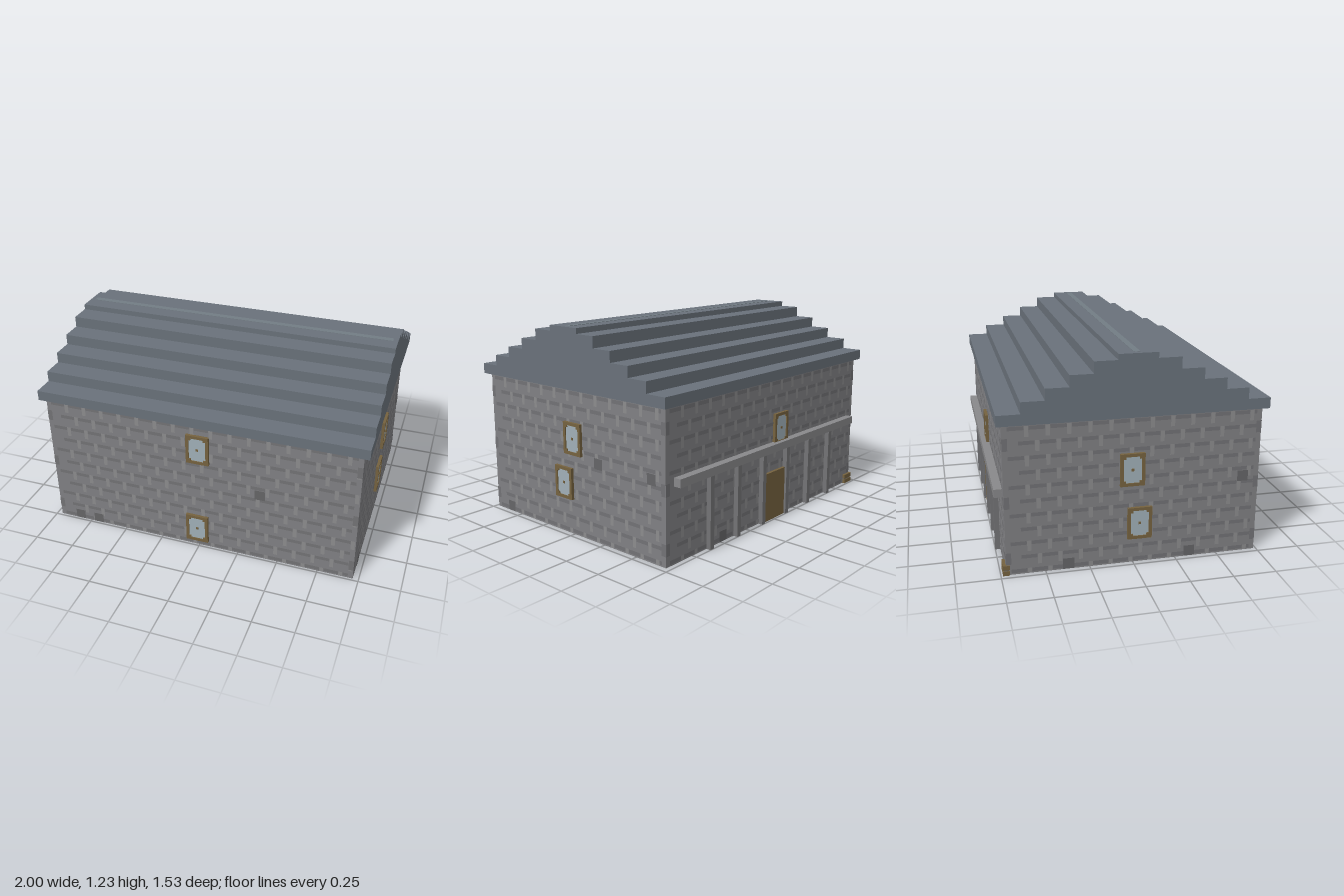
import * as THREE from 'three';
import { mergeGeometries } from 'three/addons/utils/BufferGeometryUtils.js';

const mat = (color) => new THREE.MeshStandardMaterial({ color });
const MAT = {
  wall: mat(0x808083), light: mat(0x8b8b8d), dark: mat(0x727275), patch: mat(0x656567),
  roof: mat(0x69717a), ridge: mat(0x727c84), wood: mat(0x75623f), glass: mat(0xa0afb7),
  post: mat(0x737375), beam: mat(0x88888a),
};

function add(parent, name, geometry, material) {
  const mesh = new THREE.Mesh(geometry, material);
  mesh.name = name;
  parent.add(mesh);
  return mesh;
}

// Box given by its minimum and maximum corners
function box(x0, x1, y0, y1, z0, z1) {
  return new THREE.BoxGeometry(x1 - x0, y1 - y0, z1 - z0)
    .translate((x0 + x1) / 2, (y0 + y1) / 2, (z0 + z1) / 2);
}

// Flat patch lying just in front of a wall
function quad(u0, u1, y0, y1, lift) {
  return new THREE.PlaneGeometry(u1 - u0, y1 - y0)
    .translate((u0 + u1) / 2, (y0 + y1) / 2, lift);
}

// Framed window with stepped inner corners and a central knob
function makeWindow(u, y) {
  const g = new THREE.Group();
  g.name = 'window';
  const W = 0.07, H = 0.095, w = 0.052, h = 0.077, s = 0.013;
  const frame = new THREE.Shape([[-W, -H], [W, -H], [W, H], [-W, H]].map((p) => new THREE.Vector2(...p)));
  const hole = [[-w, -h + s], [-w + s, -h + s], [-w + s, -h], [w - s, -h], [w - s, -h + s], [w, -h + s],
    [w, h - s], [w - s, h - s], [w - s, h], [-w + s, h], [-w + s, h - s], [-w, h - s]];
  frame.holes.push(new THREE.Path(hole.map((p) => new THREE.Vector2(...p))));
  add(g, 'windowFrame', new THREE.ExtrudeGeometry(frame, { depth: 0.018, bevelEnabled: false }), MAT.wood);
  add(g, 'windowPane', box(-w, w, -h, h, 0, 0.012), MAT.glass);
  add(g, 'windowKnob', box(-0.007, 0.007, -0.007, 0.007, 0.01, 0.016), MAT.wood);
  g.position.set(u, y, 0);
  return g;
}

// Stone pattern, dark stones and windows of one wall; u runs to the viewer's right
function makeWall(name, u0, u1, windows, patches) {
  const g = new THREE.Group();
  g.name = name;
  const light = [], dark = [], corner = [];
  const pitch = 0.115, rows = 11;
  for (let r = 0; r < rows; r++) {
    const y = 0.02 + r * 0.083;
    const shift = (r % 2) * pitch / 2;
    for (let u = u0 + 0.03 + shift; u < u1 - 0.04; u += pitch) {
      dark.push(quad(u, Math.min(u + 0.088, u1 - 0.03), y - 0.011, y + 0.011, 0.001));
      if (u + 0.115 < u1) light.push(quad(u + 0.09, u + 0.113, Math.max(y - 0.05, 0.002), y + 0.012, 0.0015));
    }
    // Corner stones
    if (r % 4 === 1) for (const u of [u0, u1 - 0.03]) corner.push(quad(u, u + 0.03, y - 0.04, y + 0.03, 0.002));
  }
  add(g, 'stoneEdges', mergeGeometries(light), MAT.light);
  add(g, 'stoneJoints', mergeGeometries(dark), MAT.dark);
  add(g, 'cornerStones', mergeGeometries(corner), MAT.dark);
  const p = patches.map(([u, y]) => quad(u - 0.032, u + 0.032, y - 0.032, y + 0.032, 0.0025));
  add(g, 'darkStones', mergeGeometries(p), MAT.patch);
  for (const [u, y] of windows) g.add(makeWindow(u, y));
  return g;
}

export function createModel() {
  const model = new THREE.Group();
  model.name = 'house';
  const X0 = -0.967, X1 = 0.965, Z0 = -0.72, Z1 = 0.735;

  // Stone body
  add(model, 'body', box(X0, X1, 0, 0.9, Z0, Z1), MAT.wall);

  // Wall dressing on all four sides
  const front = makeWall('frontWall', X0, X1, [[0.005, 0.715], [-0.01, 0.135]],
    [[0.385, 0.472], [-0.825, 0.034], [-0.695, 0.034]]);
  front.position.z = Z1;
  const back = makeWall('backWall', -X1, -X0, [[0.075, 0.568]], [[-0.48, 0.034]]);
  back.position.z = Z0;
  back.rotation.y = Math.PI;
  const left = makeWall('leftWall', -Z1, -Z0, [[0.015, 0.585], [-0.068, 0.31]],
    [[0.215, 0.472], [0.62, 0.472], [-0.593, 0.034]]);
  left.position.x = X1;
  left.rotation.y = Math.PI / 2;
  const right = makeWall('rightWall', Z0, Z1, [[-0.01, 0.568], [0.035, 0.245]],
    [[0.64, 0.472], [0.335, 0.034], [-0.37, 0.034]]);
  right.position.x = X0;
  right.rotation.y = -Math.PI / 2;
  model.add(front, back, left, right);

  // Stepped roof, extruded along x
  const levels = [0.875, 0.937, 1.002, 1.066, 1.13, 1.196, 1.228];
  const mid = 0.008, near = [], far = [];
  for (let i = 0; i < 6; i++) {
    const half = 0.757 - i * 0.1295;
    for (const y of [levels[i], levels[i + 1]]) {
      near.push(new THREE.Vector2(-mid + half, y));
      far.unshift(new THREE.Vector2(-mid - half, y));
    }
  }
  const roof = new THREE.ExtrudeGeometry(new THREE.Shape([...near, ...far]), { depth: 2, bevelEnabled: false });
  add(model, 'steppedRoof', roof.translate(0, 0, -1).rotateY(Math.PI / 2), MAT.roof);
  add(model, 'ridgeStrip', box(-0.97, 0.97, 1.2, 1.23, -0.012, 0.024), MAT.ridge);

  // Rear door, posts and rail
  add(model, 'door', box(-0.12, 0.1, 0, 0.305, -0.738, Z0), MAT.wood);
  for (let i = 0; i < 6; i++) {
    const x = -0.638 + i * 0.25;
    add(model, 'post', box(x - 0.016, x + 0.016, 0, 0.445, -0.75, -0.733 + 0.014), MAT.post);
  }
  add(model, 'rail', box(-0.902, 0.902, 0.44, 0.488, -0.767, Z0), MAT.beam);

  // Small crate at the rear corner
  const crate = new THREE.Group();
  crate.name = 'crate';
  for (const y of [0, 0.034]) add(crate, 'crateSlat', box(-0.975, -0.89, y, y + 0.026, -0.738, -0.7), MAT.wood);
  add(crate, 'crateCore', box(-0.97, -0.895, 0, 0.058, -0.732, -0.705), MAT.patch);
  model.add(crate);

  return model;
}
